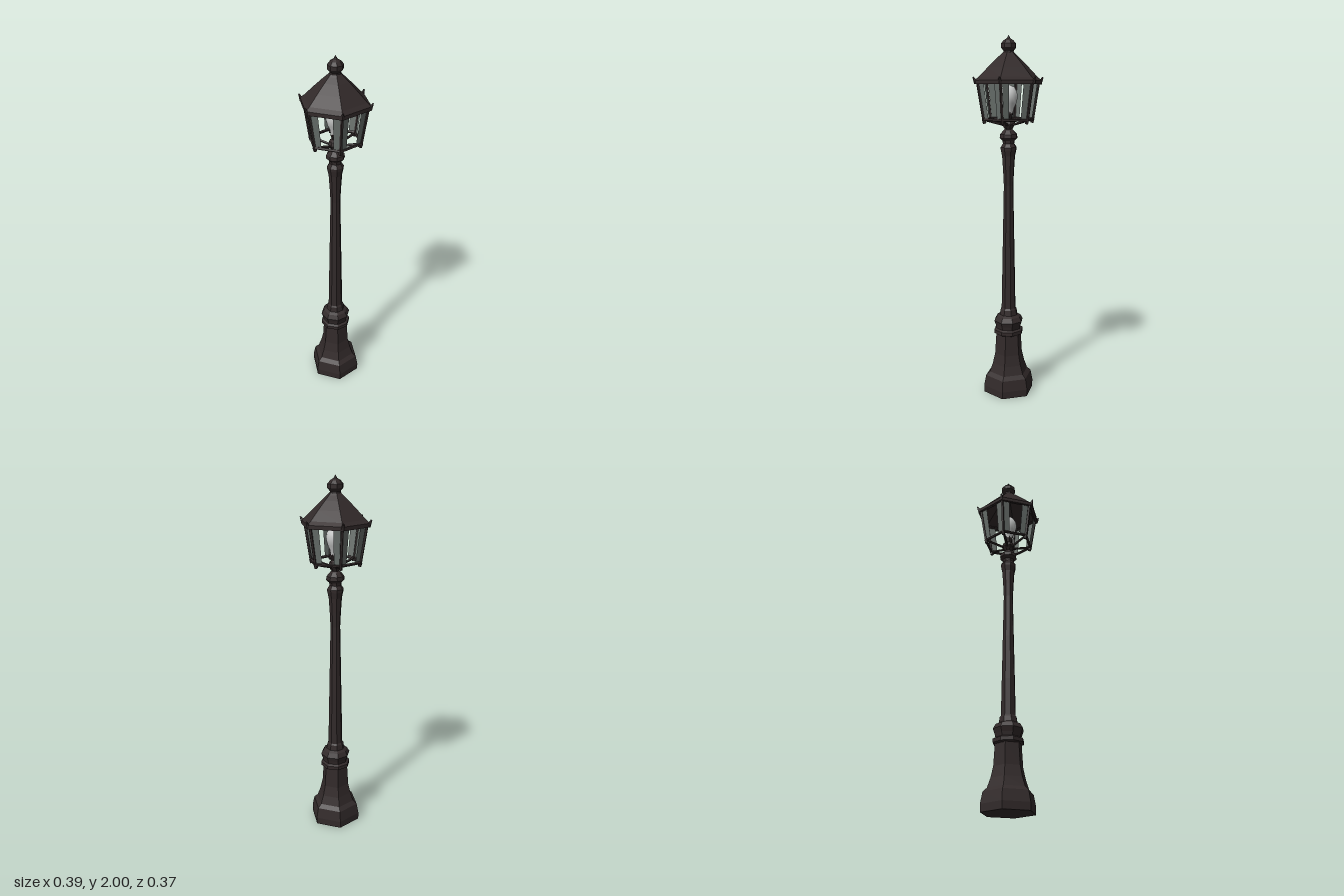
import * as THREE from 'three';

export function createModel() {
  const model = new THREE.Group();
  model.name = 'streetLamp';

  const material = (name, color, flatShading = true) => {
    const m = new THREE.MeshStandardMaterial({ color, flatShading, side: THREE.DoubleSide });
    m.name = name;
    return m;
  };
  const iron = material('dark iron', 0x322a2a);
  const glass = material('grey glass', 0x69706c);
  const white = material('bulb white', 0xc9cbca, false);

  const START = THREE.MathUtils.degToRad(19); // turn of the hexagonal plan
  const add = (name, geometry, mat, parent = model) => {
    const mesh = new THREE.Mesh(geometry, mat);
    mesh.name = name;
    parent.add(mesh);
    return mesh;
  };
  // Faceted turned part from [radius, height] pairs
  const turned = (name, profile, sides, mat = iron) =>
    add(name, new THREE.LatheGeometry(profile.map(p => new THREE.Vector2(...p)), sides, START), mat);
  // Corner i of the hexagon
  const corner = (i, r, y) => {
    const a = START + i * Math.PI / 3;
    return new THREE.Vector3(r * Math.sin(a), y, r * Math.cos(a));
  };
  // Straight bar between two points
  const bar = (name, a, b, r, parent, r2 = r) => {
    const d = b.clone().sub(a);
    const mesh = add(name, new THREE.CylinderGeometry(r2, r, d.length(), 5), iron, parent);
    mesh.position.copy(a).add(b).multiplyScalar(0.5);
    mesh.quaternion.setFromUnitVectors(new THREE.Vector3(0, 1, 0), d.normalize());
  };
  // Flat four-cornered pane
  const pane = (name, pts, parent) => {
    const g = new THREE.BufferGeometry().setFromPoints([0, 1, 2, 0, 2, 3].map(k => pts[k]));
    g.computeVertexNormals();
    add(name, g, glass, parent);
  };

  // Base and its collar
  turned('base', [[0, 0], [0.145, 0], [0.146, 0.04], [0.134, 0.1], [0.112, 0.12],
    [0.094, 0.17], [0.08, 0.23], [0.073, 0.34], [0.073, 0.36]], 6);
  turned('baseCollar', [[0.07, 0.345], [0.084, 0.352], [0.084, 0.372], [0.07, 0.38],
    [0.075, 0.4], [0.084, 0.425], [0.07, 0.45], [0.052, 0.46], [0.047, 0.49], [0.04, 0.5]], 8);

  // Tapering shaft and capital
  turned('shaft', [[0.041, 0.49], [0.037, 0.7], [0.032, 0.95], [0.027, 1.2],
    [0.031, 1.28], [0.037, 1.37]], 8);
  turned('capital', [[0.036, 1.36], [0.044, 1.395], [0.045, 1.41], [0.032, 1.43],
    [0.034, 1.445], [0.05, 1.46], [0.048, 1.48], [0.03, 1.5], [0.018, 1.51]], 8);
  turned('lanternStem', [[0.016, 1.5], [0.026, 1.515], [0.038, 1.535], [0.032, 1.555],
    [0.018, 1.565], [0.026, 1.59], [0.026, 1.615], [0, 1.62]], 8);

  // Bulb
  turned('bulb', [[0.024, 1.59], [0.03, 1.62], [0.042, 1.645], [0.05, 1.675],
    [0.046, 1.705], [0.032, 1.73], [0, 1.745]], 14, white);

  // Lantern cage: posts, rails, brackets, panes and eave spurs
  const cage = new THREE.Group();
  cage.name = 'lanternCage';
  model.add(cage);
  const LOW = 1.56, HIGH = 1.755, RL = 0.138, RH = 0.17;
  for (let i = 0; i < 6; i++) {
    const a = corner(i, RL, LOW), b = corner(i + 1, RL, LOW);
    const c = corner(i, RH, HIGH), d = corner(i + 1, RH, HIGH);
    bar('cornerPost', a, c, 0.008, cage);
    bar('bottomRail', a, b, 0.008, cage);
    bar('topRail', c, d, 0.009, cage);
    bar('supportBracket', corner(i, 0.025, 1.53), a, 0.007, cage);
    bar('bottomDrop', corner(i, 0.132, 1.54), a, 0.01, cage);
    bar('eaveSpur', corner(i, 0.178, 1.752), corner(i, 0.193, 1.782), 0.012, cage, 0.004);
    for (const [s, t] of [[0.05, 0.27], [0.73, 0.95]]) {
      pane('glassPane', [a.clone().lerp(b, s), a.clone().lerp(b, t),
        c.clone().lerp(d, t), c.clone().lerp(d, s)], cage);
    }
  }

  // Hipped roof and finial
  turned('roof', [[0.165, 1.75], [0.188, 1.745], [0.188, 1.765], [0.165, 1.782],
    [0.115, 1.832], [0.07, 1.875], [0.042, 1.9], [0.03, 1.912]], 6);
  turned('finial', [[0.03, 1.905], [0.028, 1.918], [0.042, 1.935], [0.042, 1.955],
    [0.027, 1.972], [0.01, 1.982], [0, 2]], 8);

  return model;
}
